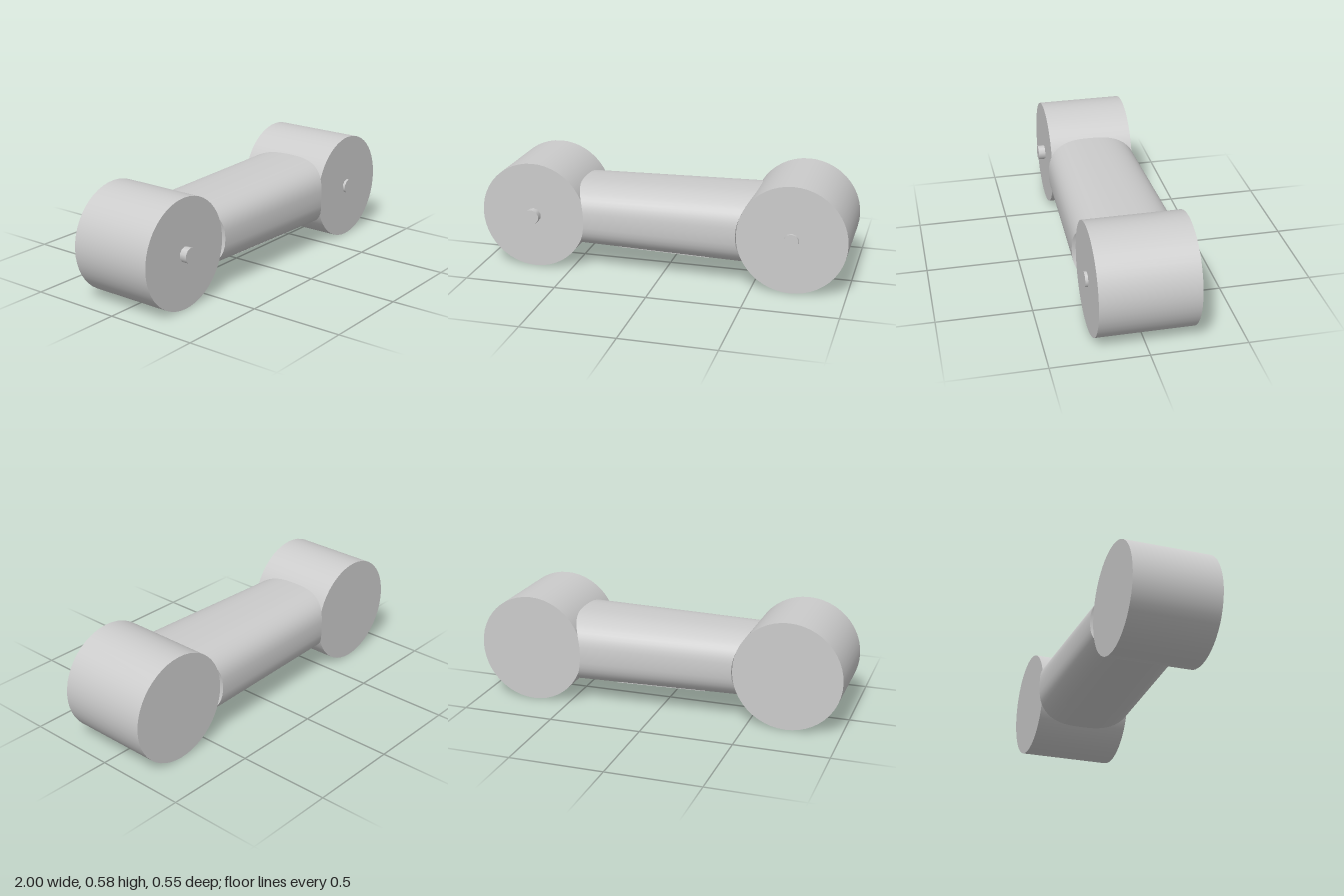
import * as THREE from 'three';
import { toCreasedNormals } from 'three/addons/utils/BufferGeometryUtils.js';

const RADIUS = 0.2915, CENTRE_X = 0.7085, CENTRE_Y = 0.2915;
const SEGMENTS = 48, POWER = 2 / 2.75;
const material = new THREE.MeshStandardMaterial({ color: 0xcccccc });
const thinMaterial = new THREE.MeshStandardMaterial({ color: 0xcccccc, side: THREE.DoubleSide });

// Rounded-box cross-section of the tapered arm at x; angle 0 faces +z, PI/2 faces up
function section(x, angle, scale = 1) {
  const bend = (v) => Math.sign(v) * Math.pow(Math.abs(v) < 1e-9 ? 0 : Math.abs(v), POWER);
  const y = (0.186 + 0.0184 * x) * scale * bend(Math.sin(angle));
  const z = (0.264 + 0.027 * x) * scale * bend(Math.cos(angle));
  return new THREE.Vector3(x, CENTRE_Y + y, z);
}

function quadGeometry(quads) {
  const pos = [];
  for (const [a, b, c, d] of quads) {
    for (const p of [a, b, c, a, c, d]) pos.push(p.x, p.y, p.z);
  }
  const geometry = new THREE.BufferGeometry();
  geometry.setAttribute('position', new THREE.Float32BufferAttribute(pos, 3));
  return toCreasedNormals(geometry, 0.5);
}

// Arm whose ends are hollowed to hug the drums
function armGeometry() {
  const end = (side, i) => {
    const p = section(side * 0.45, (i / SEGMENTS) * Math.PI * 2);
    const dy = p.y - CENTRE_Y;
    p.x = side * (CENTRE_X - Math.sqrt(RADIUS * RADIUS - dy * dy));
    return p;
  };
  const quads = [];
  for (let i = 0; i < SEGMENTS; i++) {
    quads.push([end(-1, i), end(1, i), end(1, i + 1), end(-1, i + 1)]);
  }
  for (const side of [-1, 1]) {
    for (let i = -SEGMENTS / 4; i < SEGMENTS / 4; i++) {
      const back = SEGMENTS / 2 - i;
      const q = [end(side, i), end(side, back), end(side, back - 1), end(side, i + 1)];
      quads.push(side > 0 ? q : q.reverse());
    }
  }
  return quadGeometry(quads);
}

// Thin curved cover lying just proud of the underside
function hatchGeometry() {
  const quads = [], steps = 10, from = Math.PI * 1.32, to = Math.PI * 1.68;
  for (let i = 0; i < steps; i++) {
    const a = from + ((to - from) * i) / steps, b = from + ((to - from) * (i + 1)) / steps;
    quads.push([section(-0.25, a, 1.012), section(0.25, a, 1.012),
      section(0.25, b, 1.012), section(-0.25, b, 1.012)]);
  }
  return quadGeometry(quads);
}

// Cylinder lying along z between two depths
function crossCylinder(name, x, radius, back, front, sides) {
  const geometry = new THREE.CylinderGeometry(radius, radius, front - back, sides);
  geometry.rotateX(Math.PI / 2);
  const mesh = new THREE.Mesh(geometry, material);
  mesh.name = name;
  mesh.position.set(x, CENTRE_Y, (back + front) / 2);
  return mesh;
}

export function createModel() {
  const group = new THREE.Group();
  group.name = 'doubleDrumLink';

  const arm = new THREE.Mesh(armGeometry(), material);
  arm.name = 'arm';
  const hatch = new THREE.Mesh(hatchGeometry(), thinMaterial);
  hatch.name = 'undersideHatch';
  group.add(arm, hatch);

  // Joint drums, the left one a little wider
  group.add(crossCylinder('rightDrum', -CENTRE_X, RADIUS, -0.235, 0.23, 48));
  group.add(crossCylinder('leftDrum', CENTRE_X, RADIUS, -0.255, 0.255, 48));

  // Axle pins on the front faces
  group.add(crossCylinder('rightPin', -CENTRE_X, 0.041, 0.22, 0.268, 10));
  group.add(crossCylinder('leftPin', CENTRE_X, 0.04, 0.245, 0.27, 10));
  return group;
}
